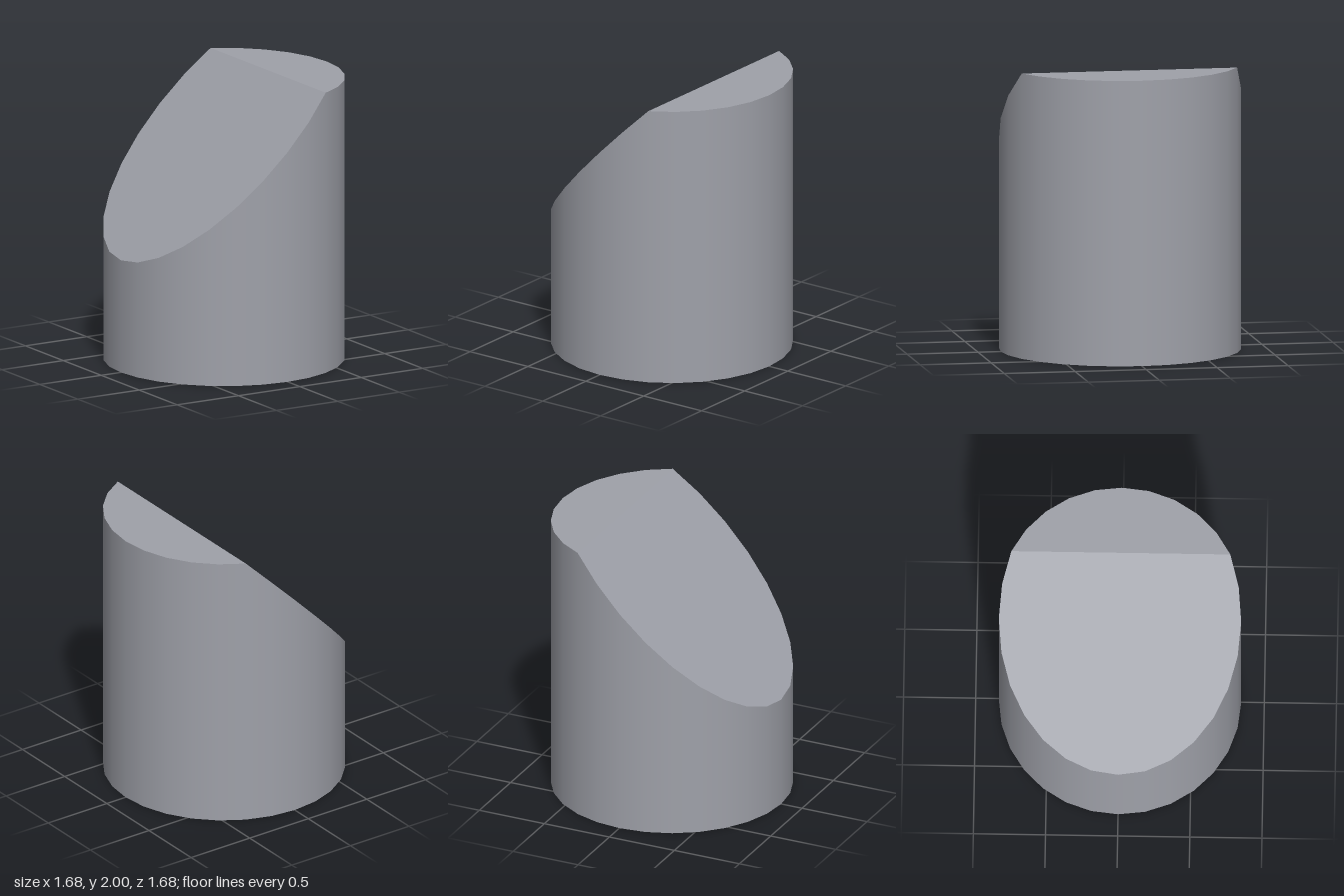
import * as THREE from 'three';

const R = 0.84, H = 2, CREASE_X = 0.36;
const CREASE = Math.acos(CREASE_X / R); // angle where slope meets flat top

// Height of the top surface: flat beyond the crease, 45 degree slope before it
const topY = (x) => Math.min(H, H + x - CREASE_X);

const arc = (from, to, n) =>
  Array.from({ length: n + 1 }, (_, i) => from + ((to - from) * i) / n);

function geometry(positions, indices, normals) {
  const g = new THREE.BufferGeometry();
  g.setAttribute('position', new THREE.Float32BufferAttribute(positions, 3));
  g.setIndex(indices);
  if (normals) g.setAttribute('normal', new THREE.Float32BufferAttribute(normals, 3));
  else g.computeVertexNormals();
  return g;
}

// Flat convex face spanning an arc of the rim
function face(angles, height, up) {
  const pos = [], idx = [];
  angles.forEach((a, i) => {
    const x = R * Math.cos(a);
    pos.push(x, height(x), R * Math.sin(a));
    if (i > 1) idx.push(0, ...(up ? [i, i - 1] : [i - 1, i]));
  });
  return geometry(pos, idx);
}

// Round side wall with its upper edge trimmed to the top surface
function wall(angles) {
  const pos = [], nor = [], idx = [];
  angles.forEach((a, i) => {
    const c = Math.cos(a), s = Math.sin(a);
    pos.push(R * c, 0, R * s, R * c, topY(R * c), R * s);
    nor.push(c, 0, s, c, 0, s);
    if (i > 0) {
      const b = 2 * i - 2;
      idx.push(b, b + 1, b + 2, b + 1, b + 3, b + 2);
    }
  });
  return geometry(pos, idx, nor);
}

export function createModel() {
  const group = new THREE.Group();
  group.name = 'slantCutCylinder';
  const material = new THREE.MeshStandardMaterial({ color: 0x9fa1a9 });
  const add = (name, geo) => {
    const mesh = new THREE.Mesh(geo, material);
    mesh.name = name;
    group.add(mesh);
  };

  // Equal steps of about 13 degrees, 28 sides in all
  const flatArc = arc(-CREASE, CREASE, 10);
  const slopeArc = arc(CREASE, 2 * Math.PI - CREASE, 18);
  const fullArc = [...flatArc, ...slopeArc.slice(1)];

  add('sideWall', wall(fullArc));
  add('flatTop', face(flatArc, () => H, true));
  add('slopedCut', face(slopeArc, topY, true));
  add('base', face(fullArc.slice(0, -1), () => 0, false));
  return group;
}
